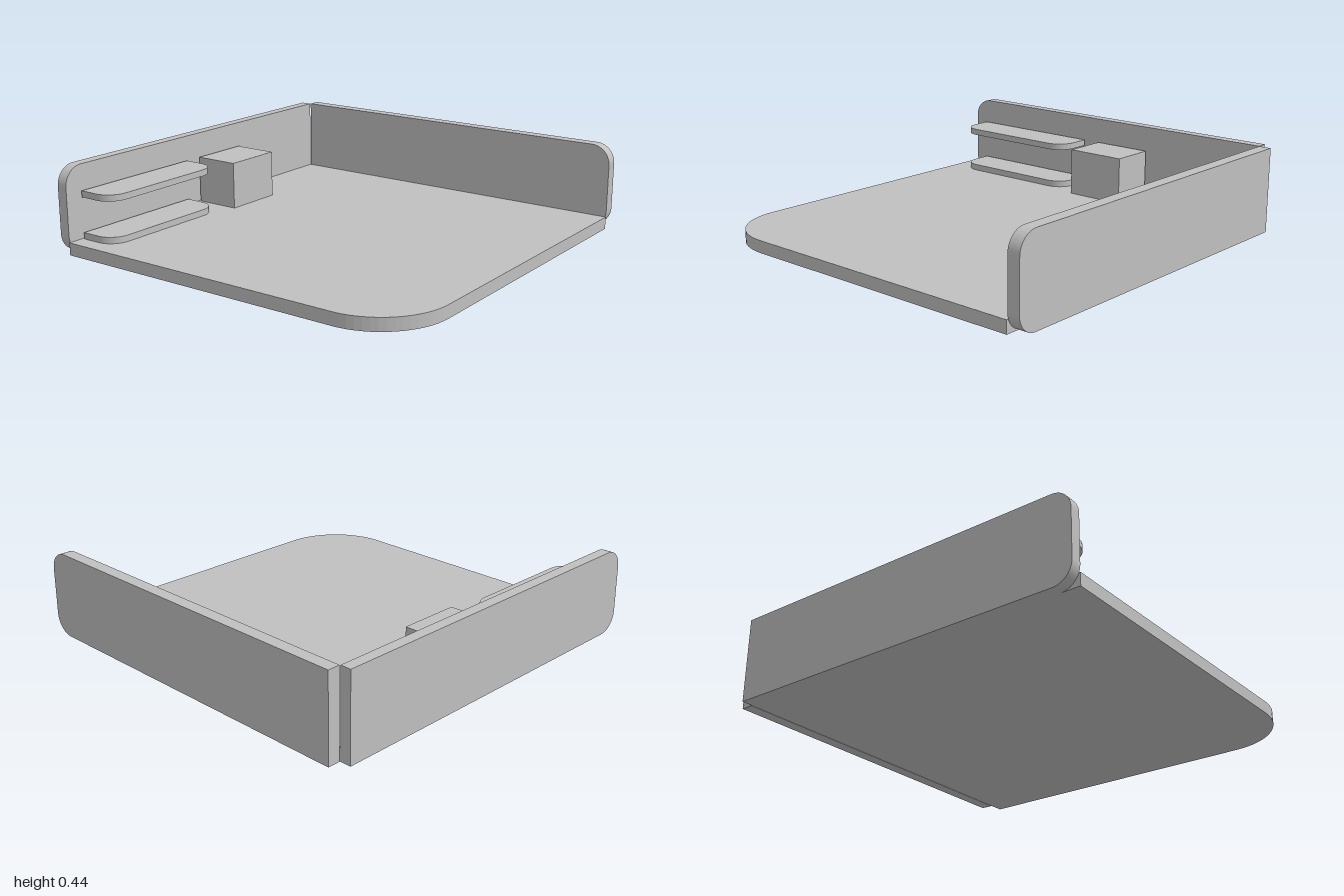
import * as THREE from 'three';

// Rectangle with its own radius at each corner: bottom left, bottom right, top right, top left
function roundedRect(x0, y0, x1, y1, [bl, br, tr, tl]) {
  const s = new THREE.Shape();
  const corner = (cx, cy, r, start) => {
    if (r > 0) s.absarc(cx, cy, r, start, start + Math.PI / 2, false);
    else s.lineTo(cx, cy);
  };
  s.moveTo(x0 + bl, y0);
  corner(x1 - br, y0 + br, br, -Math.PI / 2);
  corner(x1 - tr, y1 - tr, tr, 0);
  corner(x0 + tl, y1 - tl, tl, Math.PI / 2);
  corner(x0 + bl, y0 + bl, bl, Math.PI);
  return s;
}

const extrude = (shape, depth) =>
  new THREE.ExtrudeGeometry(shape, { depth, bevelEnabled: false, curveSegments: 8 });

export function createModel() {
  const group = new THREE.Group();
  const grey = new THREE.MeshStandardMaterial({ name: 'light grey', color: 0xc0c0c0 });
  const add = (name, geometry) => {
    const mesh = new THREE.Mesh(geometry, grey);
    mesh.name = name;
    group.add(mesh);
  };

  // Horizontal plate, with the two front corners rounded separately
  const plate = (name, x0, x1, zBack, zFront, y0, y1, rRight, rLeft) => {
    const shape = roundedRect(x0, -zFront, x1, -zBack, [rRight, rLeft, 0, 0]);
    add(name, extrude(shape, y1 - y0).rotateX(-Math.PI / 2).translate(0, y0, 0));
  };

  // Floor with one large rounded corner
  plate('floor', -1, 0.933, -0.94, 0.995, 0, 0.064, 0.35, 0);

  // Back wall, rounded at its free end
  add('backWall', extrude(roundedRect(-1, 0, 0.933, 0.44, [0.1, 0, 0, 0.1]), 0.057)
    .translate(0, 0, -0.997));

  // Side wall, rounded at its front end
  add('sideWall', extrude(roundedRect(-0.995, 0, 0.938, 0.44, [0.1, 0, 0, 0.1]), 0.064)
    .rotateY(Math.PI / 2).translate(0.936, 0, 0));

  // Two shelves, one above the other
  plate('lowerShelf', -0.914, -0.168, -0.928, -0.725, 0.064, 0.097, 0.1, 0.1);
  plate('upperShelf', -0.914, -0.168, -0.928, -0.725, 0.277, 0.31, 0.1, 0.1);

  // Cabinet block beside the shelves
  add('cabinet', new THREE.BoxGeometry(0.322, 0.246, 0.241).translate(0.091, 0.187, -0.807));

  return group;
}
